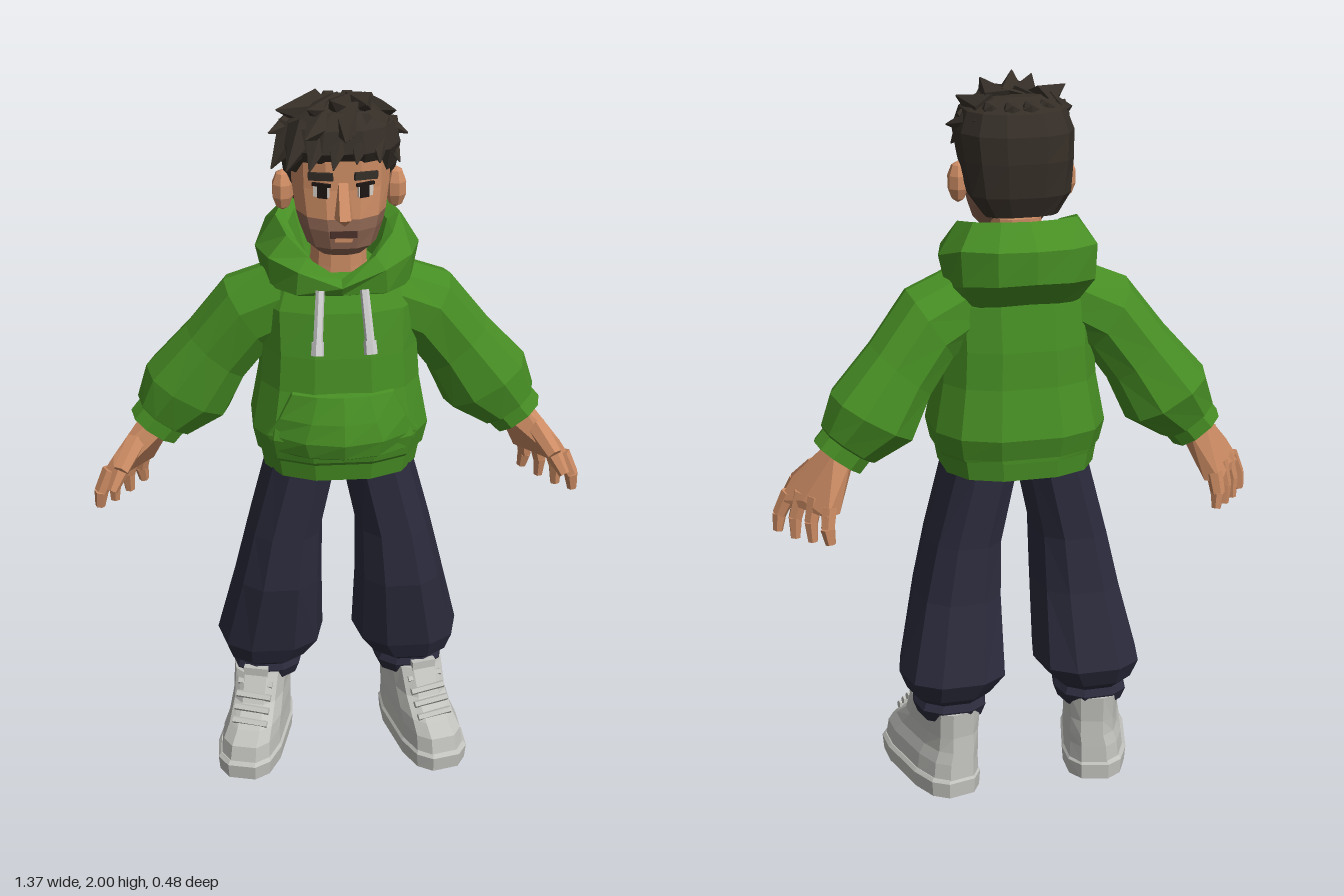
import * as THREE from 'three';
import { ConvexGeometry } from 'three/addons/geometries/ConvexGeometry.js';

const V = (x, y, z) => new THREE.Vector3(x, y, z);
const mat = (name, color) => { const m = new THREE.MeshStandardMaterial({ color }); m.name = name; return m; };

// Separate every face so that each one is shaded flat
function flat(geo) {
  const g = geo.index ? geo.toNonIndexed() : geo;
  g.computeVertexNormals();
  return g;
}

// Skin a list of equal rings; rings turn counter-clockwise about the travel direction
function skin(rings, { capped = true, closed = true } = {}) {
  const n = rings[0].length, pos = [], idx = [];
  rings.forEach(r => r.forEach(p => pos.push(p.x, p.y, p.z)));
  for (let j = 0; j < rings.length - 1; j++)
    for (let i = 0; i < (closed ? n : n - 1); i++) {
      const a = j * n + i, b = j * n + (i + 1) % n;
      idx.push(a, b, b + n, a, b + n, a + n);
    }
  if (capped) {
    const top = (rings.length - 1) * n;
    for (let i = 1; i < n - 1; i++) idx.push(0, i + 1, i, top, top + i, top + i + 1);
  }
  const g = new THREE.BufferGeometry();
  g.setAttribute('position', new THREE.Float32BufferAttribute(pos, 3));
  g.setIndex(idx);
  return flat(g);
}

// Rounded-square ring, tilted by angle a in the front plane
function ring(cx, cy, cz, hu, hz, { n = 12, p = 0.78, a = 0 } = {}) {
  const pw = v => Math.sign(v) * Math.abs(v) ** p;
  return Array.from({ length: n }, (_, i) => {
    const t = ((i + 0.5) / n) * Math.PI * 2, u = pw(Math.sin(t)) * hu;
    return V(cx + u * Math.cos(a), cy + u * Math.sin(a), cz + pw(Math.cos(t)) * hz);
  });
}
// Rows of [y, half width, front z, back z, centre x]
const stack = (rows, o) => skin(rows.map(([y, hx, f, b, cx = 0]) => ring(cx, y, (f + b) / 2, hx, (f - b) / 2, o)));

// Tapered bar between two points
function bar(p, q, r0, r1, sides = 6, flatten = 1) {
  const d = q.clone().sub(p);
  const g = new THREE.CylinderGeometry(r1, r0, d.length(), sides).scale(1, 1, flatten);
  g.applyQuaternion(new THREE.Quaternion().setFromUnitVectors(V(0, 1, 0), d.clone().normalize()));
  const c = p.clone().add(q).multiplyScalar(0.5);
  return flat(g.translate(c.x, c.y, c.z));
}

export function createModel() {
  const green = mat('hoodie green', 0x478e24), navy = mat('trouser navy', 0x2b2b3d);
  const tan = mat('skin', 0xcb8b63), stubble = mat('stubble', 0x8a6350), dark = mat('hair brown', 0x352e27);
  const grey = mat('shoe grey', 0xc2c2be), cord = mat('cord grey', 0xcdcdcd);
  const black = mat('eye dark', 0x1d1613), white = mat('eye white', 0xd8d0c8), lip = mat('mouth brown', 0x4a302a);
  const model = new THREE.Group();
  const add = (parent, name, geo, m) => {
    const mesh = new THREE.Mesh(geo, m);
    mesh.name = name;
    parent.add(mesh);
    return mesh;
  };

  // Hoodie body with gathered hem
  add(model, 'hoodieBody', stack([
    [0.945, 0.213, 0.18, -0.18], [0.995, 0.222, 0.188, -0.185], [1.005, 0.232, 0.195, -0.185],
    [1.065, 0.245, 0.21, -0.203], [1.2, 0.22, 0.178, -0.175], [1.3, 0.213, 0.168, -0.168],
    [1.42, 0.215, 0.145, -0.15], [1.48, 0.19, 0.12, -0.14], [1.515, 0.13, 0.085, -0.12]]), green);

  // Front pocket, following the curve of the belly
  const pocketRows = [[1.015, 0.17, 0.195], [1.03, 0.185, 0.222], [1.075, 0.21, 0.236], [1.13, 0.175, 0.222], [1.2, 0.14, 0.196], [1.205, 0.135, 0.17]];
  const pocket = skin(pocketRows.map(([y, w, z]) => [-1, -0.97, -0.5, 0, 0.5, 0.97, 1].map((k, i) =>
    V(k * w, y, z * (1 - 0.5 * (k * w / 0.23) ** 2) - (i % 6 ? 0 : 0.035)))), { capped: false, closed: false });
  const pocketMat = green.clone();
  pocketMat.dispose();
  add(model, 'pocket', pocket, green);

  // Folded hood: half rows from front to back of [rim, outer, lower] x, y, z
  const half = [
    [0, 1.505, 0.11, 0, 1.49, 0.14, 0, 1.465, 0.125],
    [0.09, 1.565, 0.1, 0.115, 1.535, 0.13, 0.12, 1.47, 0.125],
    [0.14, 1.61, 0.05, 0.19, 1.555, 0.07, 0.185, 1.47, 0.06],
    [0.165, 1.638, -0.03, 0.22, 1.55, -0.04, 0.2, 1.46, -0.04],
    [0.14, 1.65, -0.11, 0.185, 1.585, -0.16, 0.18, 1.49, -0.16],
    [0.075, 1.655, -0.155, 0.1, 1.59, -0.225, 0.1, 1.5, -0.225],
    [0, 1.655, -0.165, 0, 1.592, -0.242, 0, 1.505, -0.24]];
  const loop = [...half, ...half.slice(1, 6).reverse().map(r => r.map((v, i) => (i % 3 ? v : -v)))];
  const pick = k => loop.map(r => V(r[k], r[k + 1], r[k + 2]));
  const under = pick(6).map(p => V(p.x * 0.8, p.y - (p.z < 0 ? 0.07 : 0.02), p.z * 0.72));
  const inner = pick(0).map(p => V(p.x * 0.8, p.y - 0.02, p.z * 0.82));
  const well = pick(0).map(p => V(p.x * 0.55, 1.49, p.z * 0.55));
  add(model, 'hood', skin([under, pick(6), pick(3), pick(0), inner, well], { capped: false }), green);

  // Neck and head; the jaw carries the stubble
  add(model, 'neck', stack([[1.46, 0.09, 0.085, -0.08], [1.53, 0.075, 0.085, -0.07], [1.64, 0.07, 0.085, -0.07]]), tan);
  add(model, 'jaw', stack([[1.585, 0.06, 0.14, 0.03], [1.615, 0.092, 0.175, -0.02], [1.665, 0.112, 0.183, -0.08], [1.695, 0.12, 0.178, -0.1]]), stubble);
  add(model, 'head', stack([[1.695, 0.12, 0.178, -0.1], [1.77, 0.13, 0.168, -0.11], [1.86, 0.132, 0.168, -0.11], [1.92, 0.1, 0.12, -0.08]]), tan);
  add(model, 'nose', new ConvexGeometry([V(-0.026, 1.695, 0.16), V(0.026, 1.695, 0.16), V(-0.014, 1.71, 0.228), V(0.014, 1.71, 0.228),
    V(0, 1.688, 0.205), V(-0.012, 1.79, 0.165), V(0.012, 1.79, 0.165)]), tan);
  add(model, 'mouth', new THREE.BoxGeometry(0.07, 0.018, 0.008), lip).position.set(0, 1.657, 0.18);
  add(model, 'lowerLip', new THREE.BoxGeometry(0.045, 0.01, 0.009), tan).position.set(0, 1.642, 0.179);

  // Hair cap, then locks as [root, tip, radius]
  add(model, 'hairCap', stack([
    [1.655, 0.1, -0.01, -0.115], [1.71, 0.138, 0.05, -0.138], [1.8, 0.152, 0.135, -0.147],
    [1.87, 0.158, 0.185, -0.143], [1.925, 0.138, 0.17, -0.115], [1.96, 0.08, 0.13, -0.05]]), dark);
  const locks = [
    [-0.12, 1.9, 0.05, -0.18, 1.81, 0.1, 0.05], [-0.09, 1.91, 0.1, -0.145, 1.83, 0.18, 0.05],
    [-0.05, 1.92, 0.1, -0.09, 1.84, 0.22, 0.05], [0, 1.92, 0.1, -0.03, 1.845, 0.225, 0.05],
    [0.05, 1.92, 0.1, 0.03, 1.855, 0.21, 0.05], [0.09, 1.91, 0.08, 0.09, 1.85, 0.19, 0.05],
    [0.11, 1.9, 0.02, 0.15, 1.82, 0.1, 0.045], [-0.09, 1.91, 0, -0.185, 1.905, 0.1, 0.055],
    [-0.06, 1.93, 0, -0.165, 1.965, 0.1, 0.055], [-0.02, 1.93, 0.02, -0.09, 1.985, 0.17, 0.055],
    [0.01, 1.93, 0.02, -0.03, 2, 0.15, 0.055], [0.05, 1.93, 0, 0.06, 1.985, 0.14, 0.055],
    [0.08, 1.92, -0.02, 0.14, 1.95, 0.08, 0.05], [0.09, 1.9, -0.03, 0.175, 1.88, 0.05, 0.05],
    [-0.04, 1.93, 0.08, -0.1, 1.925, 0.225, 0.055], [0.02, 1.93, 0.08, 0.0, 1.92, 0.235, 0.055]];
  const hair = new THREE.Group();
  hair.name = 'hairLocks';
  model.add(hair);
  for (const [a, b, c, d, e, f, r] of locks) add(hair, 'lock', bar(V(a, b, c), V(d, e, f), r, 0.002, 5), dark);
  for (const [x, z] of [[-0.07, -0.06], [-0.02, -0.085], [0.03, -0.085], [0.08, -0.06]])
    add(hair, 'crownTuft', flat(new THREE.IcosahedronGeometry(0.024)), dark).position.set(x, 1.935, z);

  for (const side of [1, -1]) {
    const s = new THREE.Group();
    s.name = side > 0 ? 'leftSide' : 'rightSide';
    s.scale.x = side;
    model.add(s);

    // Face details and ear
    const plate = (name, w, h, x, y, z, m, tilt = 0) => {
      const p = add(s, name, new THREE.BoxGeometry(w, h, 0.008), m);
      p.position.set(x, y, z);
      p.rotation.set(0, 0.42, tilt);
    };
    plate('eyeWhite', 0.042, 0.03, 0.056, 1.768, 0.16, white);
    plate('iris', 0.026, 0.034, 0.053, 1.768, 0.164, black);
    plate('eyelid', 0.05, 0.008, 0.056, 1.786, 0.163, black);
    plate('eyebrow', 0.066, 0.02, 0.058, 1.808, 0.163, dark, -0.08);
    add(s, 'ear', flat(new THREE.SphereGeometry(1, 7, 5).scale(0.03, 0.056, 0.034)), tan).position.set(0.148, 1.73, 0.03);

    // Drawstring
    add(s, 'drawstring', bar(V(0.058, 1.485, 0.135), V(0.068, 1.36, 0.188), 0.012, 0.013), cord);
    add(s, 'drawstringTip', bar(V(0.068, 1.362, 0.187), V(0.07, 1.328, 0.199), 0.017, 0.018), cord);

    // Sleeve and cuff
    const sleeve = [[0.13, 1.42, -0.01, 0.1, 0.11, -2.0], [0.245, 1.364, -0.03, 0.112, 0.115, -2.15],
      [0.33, 1.25, -0.05, 0.108, 0.112, -2.42], [0.412, 1.13, -0.065, 0.13, 0.125, -2.6],
      [0.478, 1.055, -0.06, 0.09, 0.09, -2.5], [0.482, 1.05, -0.06, 0.078, 0.076, -2.5], [0.508, 1.018, -0.06, 0.078, 0.076, -2.5]];
    add(s, 'sleeve', skin(sleeve.map(([x, y, z, u, w, a]) => ring(x, y, z, u, w, { n: 10, p: 0.85, a }))), green);

    // Hand: palm, four fingers and a thumb
    const across = k => V(0.635 - 0.09 * k, 0.892 - 0.01 * k + 0.02 * Math.sin(k * 3), -0.008 - 0.122 * k);
    const out = V(0.019, 0, -0.014);
    const palm = [...ring(0.5, 1.03, -0.06, 0.045, 0.045, { n: 6, a: -2.5 })];
    for (const k of [-0.1, 0.5, 1.1]) palm.push(across(k).add(out), across(k).sub(out));
    palm.push(V(0.625, 0.95, -0.005), V(0.5, 0.95, -0.115), V(0.54, 1.0, -0.03));
    add(s, 'palm', new ConvexGeometry(palm), tan);
    for (let i = 0; i < 4; i++) {
      const k = i / 3, a = across(k), len = [0.095, 0.115, 0.11, 0.085][i];
      const mid = a.clone().add(V(0.028 - 0.02 * k, -0.5 * len, 0.008 - 0.02 * k));
      const tip = mid.clone().add(V(0.006 - 0.012 * k, -0.5 * len, -0.002 - 0.004 * k));
      add(s, 'finger', bar(a.add(V(0, 0.015, 0)), mid, 0.023, 0.02), tan);
      add(s, 'fingertip', bar(mid, tip, 0.02, 0.014), tan);
    }
    add(s, 'thumb', bar(V(0.56, 0.985, -0.03), V(0.605, 0.925, 0.04), 0.03, 0.023), tan);
    add(s, 'thumbTip', bar(V(0.605, 0.925, 0.04), V(0.63, 0.878, 0.068), 0.023, 0.015), tan);

    // Trouser leg, baggy at the shin
    add(s, 'trouserLeg', stack([
      [0.225, 0.092, 0.05, -0.15, 0.207], [0.26, 0.105, 0.065, -0.165, 0.207], [0.28, 0.095, 0.06, -0.155, 0.207],
      [0.3, 0.12, 0.085, -0.175, 0.207], [0.355, 0.153, 0.108, -0.202, 0.196], [0.58, 0.124, 0.148, -0.155, 0.172],
      [0.74, 0.106, 0.15, -0.142, 0.152], [0.96, 0.1, 0.15, -0.145, 0.1]], { n: 10 }), navy);

    // High-top shoe with sole and laces, toes turned out
    const shoe = new THREE.Group();
    shoe.name = 'shoe';
    shoe.position.set(0.237, 0, 0.03);
    shoe.rotation.y = 0.25;
    s.add(shoe);
    const o = { n: 12, p: 0.65 };
    add(shoe, 'sole', stack([[0, 0.092, 0.205, -0.205, 0.01], [0.045, 0.096, 0.21, -0.207, 0.01], [0.055, 0.088, 0.2, -0.2, 0.01]], o), grey);
    add(shoe, 'upper', stack([[0.05, 0.088, 0.2, -0.202, 0.008], [0.1, 0.084, 0.19, -0.2, 0.006], [0.135, 0.078, 0.155, -0.198],
      [0.18, 0.075, 0.085, -0.195], [0.255, 0.078, 0.04, -0.2]], o), grey);
    for (let i = 0; i < 4; i++) {
      const y = 0.145 + i * 0.026, z = 0.14 - i * 0.029;
      add(shoe, 'lace', bar(V(-0.05, y, z - 0.012), V(0.05, y + 0.008, z - 0.012), 0.011, 0.011, 5), grey);
    }
    add(shoe, 'tongue', new THREE.BoxGeometry(0.07, 0.06, 0.02), grey).position.set(0, 0.245, 0.03);
  }
  return model;
}
